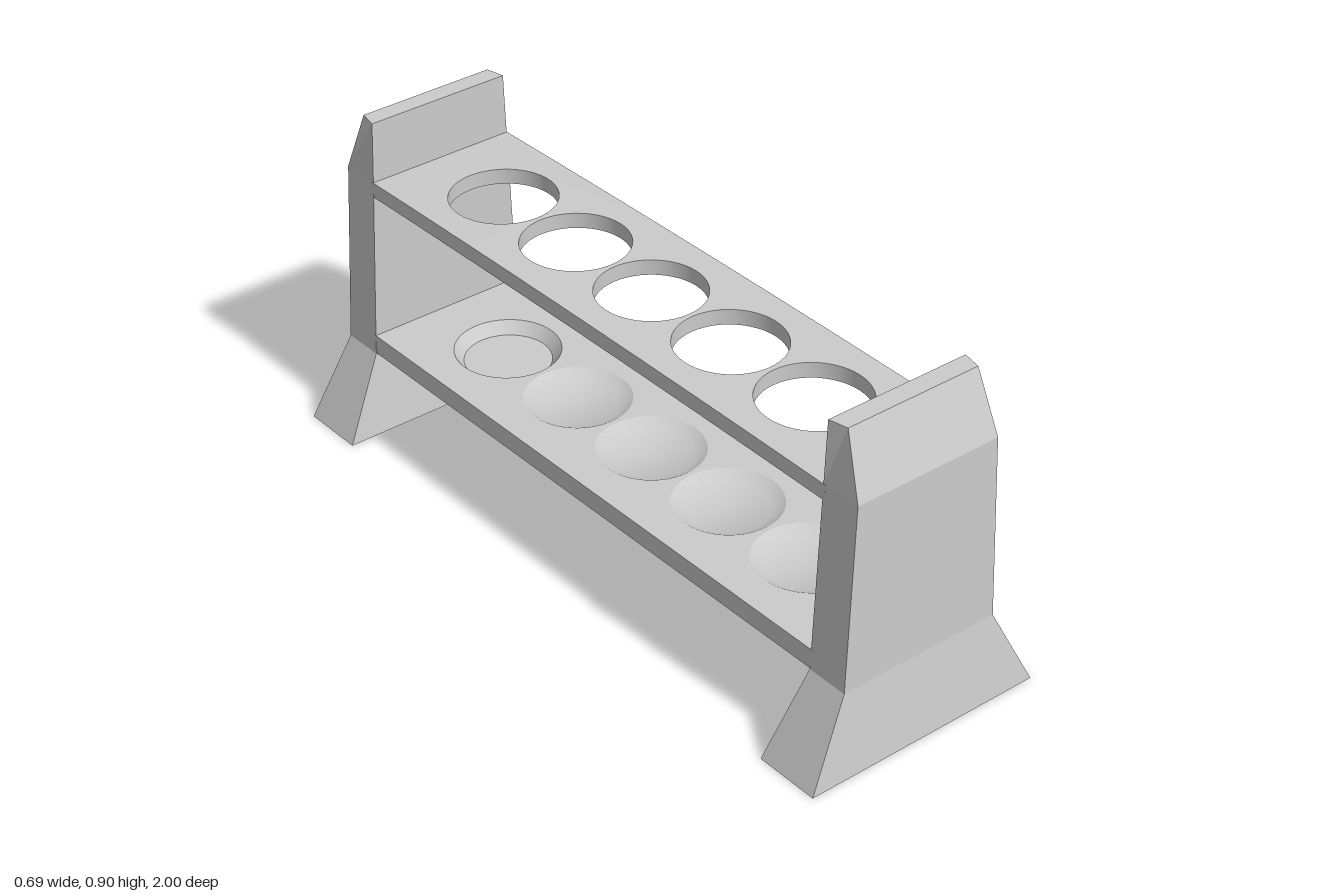
import * as THREE from 'three';
import { toCreasedNormals } from 'three/addons/utils/BufferGeometryUtils.js';

const HOLE_R = 0.14;
const HOLE_Z = [-0.587, -0.293, 0, 0.293, 0.587];
const SHELF_END = 0.86;

// Outline of a shelf with its row of round holes (shape y becomes -z)
function shelfShape(halfWidth) {
  const steps = 8, pts = [];
  for (let i = 0; i <= steps; i++) pts.push(new THREE.Vector2(halfWidth, -SHELF_END + (2 * SHELF_END * i) / steps));
  for (let i = steps; i >= 0; i--) pts.push(new THREE.Vector2(-halfWidth, -SHELF_END + (2 * SHELF_END * i) / steps));
  const shape = new THREE.Shape(pts);
  for (const z of HOLE_Z) shape.holes.push(new THREE.Path().absarc(0, -z, HOLE_R, 0, Math.PI * 2, true));
  return shape;
}

// Lofted end support; each level is [y, outer half width, inner half width, outer z, inner z]
function endGeometry() {
  const levels = [
    [0, 0.345, 0.345, 1, 0.82],
    [0.225, 0.232, 0.232, 0.97, 0.853],
    [0.73, 0.211, 0.211, 0.966, 0.854],
    [0.897, 0.194, 0.205, 0.907, 0.855],
  ];
  const pos = [], index = [];
  for (const [y, xo, xi, zo, zi] of levels) pos.push(-xo, y, zo, xo, y, zo, xi, y, zi, -xi, y, zi);
  for (let l = 0; l < levels.length - 1; l++) {
    for (let k = 0; k < 4; k++) {
      const a = l * 4 + k, b = l * 4 + ((k + 1) % 4);
      index.push(a, b, b + 4, a, b + 4, a + 4);
    }
  }
  const t = (levels.length - 1) * 4;
  index.push(t, t + 1, t + 2, t, t + 2, t + 3, 0, 2, 1, 0, 3, 2);
  const geo = new THREE.BufferGeometry();
  geo.setAttribute('position', new THREE.Float32BufferAttribute(pos, 3));
  geo.setIndex(index);
  const flat = geo.toNonIndexed();
  flat.computeVertexNormals();
  return flat;
}

export function createModel() {
  const model = new THREE.Group();
  model.name = 'tubeRack';
  const mat = new THREE.MeshStandardMaterial({ color: 0xcccccc });
  const add = (name, geo, parent = model) => {
    const mesh = new THREE.Mesh(geo, mat);
    mesh.name = name;
    parent.add(mesh);
    return mesh;
  };

  // Flared end supports
  const end = endGeometry();
  add('frontEnd', end);
  add('backEnd', end).rotation.y = Math.PI;

  // Upper shelf with through holes, bowed slightly upward in the middle
  const upper = new THREE.ExtrudeGeometry(shelfShape(0.212), { depth: 0.042, bevelEnabled: false, curveSegments: 24 });
  upper.rotateX(-Math.PI / 2);
  const p = upper.attributes.position;
  for (let i = 0; i < p.count; i++) {
    p.setY(i, p.getY(i) + 0.688 + 0.007 * (1 - (p.getZ(i) / SHELF_END) ** 2));
  }
  add('upperShelf', toCreasedNormals(upper, 0.5));

  // Lower shelf: pierced top face, solid underside and sides
  const lower = new THREE.Group();
  lower.name = 'lowerShelf';
  model.add(lower);
  const y0 = 0.226, y1 = 0.28, w = 0.23;
  const top = new THREE.ShapeGeometry(shelfShape(w), 24);
  add('lowerShelfTop', top.rotateX(-Math.PI / 2).translate(0, y1, 0), lower);
  const under = new THREE.PlaneGeometry(2 * w, 2 * SHELF_END);
  add('lowerShelfUnderside', under.rotateX(Math.PI / 2).translate(0, y0, 0), lower);
  for (const s of [-1, 1]) {
    const side = new THREE.PlaneGeometry(2 * SHELF_END, y1 - y0);
    side.rotateY((s * Math.PI) / 2).translate(s * w, (y0 + y1) / 2, 0);
    add(s > 0 ? 'lowerShelfLeftSide' : 'lowerShelfRightSide', side, lower);
  }

  // Tube seats: shallow dishes, the rearmost one steeper
  HOLE_Z.forEach((z, i) => {
    const [inner, depth] = i === 0 ? [0.115, 0.032] : [0.108, 0.02];
    const profile = [[HOLE_R, y1], [inner, y1 - depth], [0, y1 - depth]].map(([x, y]) => new THREE.Vector2(x, y));
    const dish = toCreasedNormals(new THREE.LatheGeometry(profile, 48), 0.7);
    add('tubeSeat', dish, lower).position.z = z;
  });

  return model;
}
